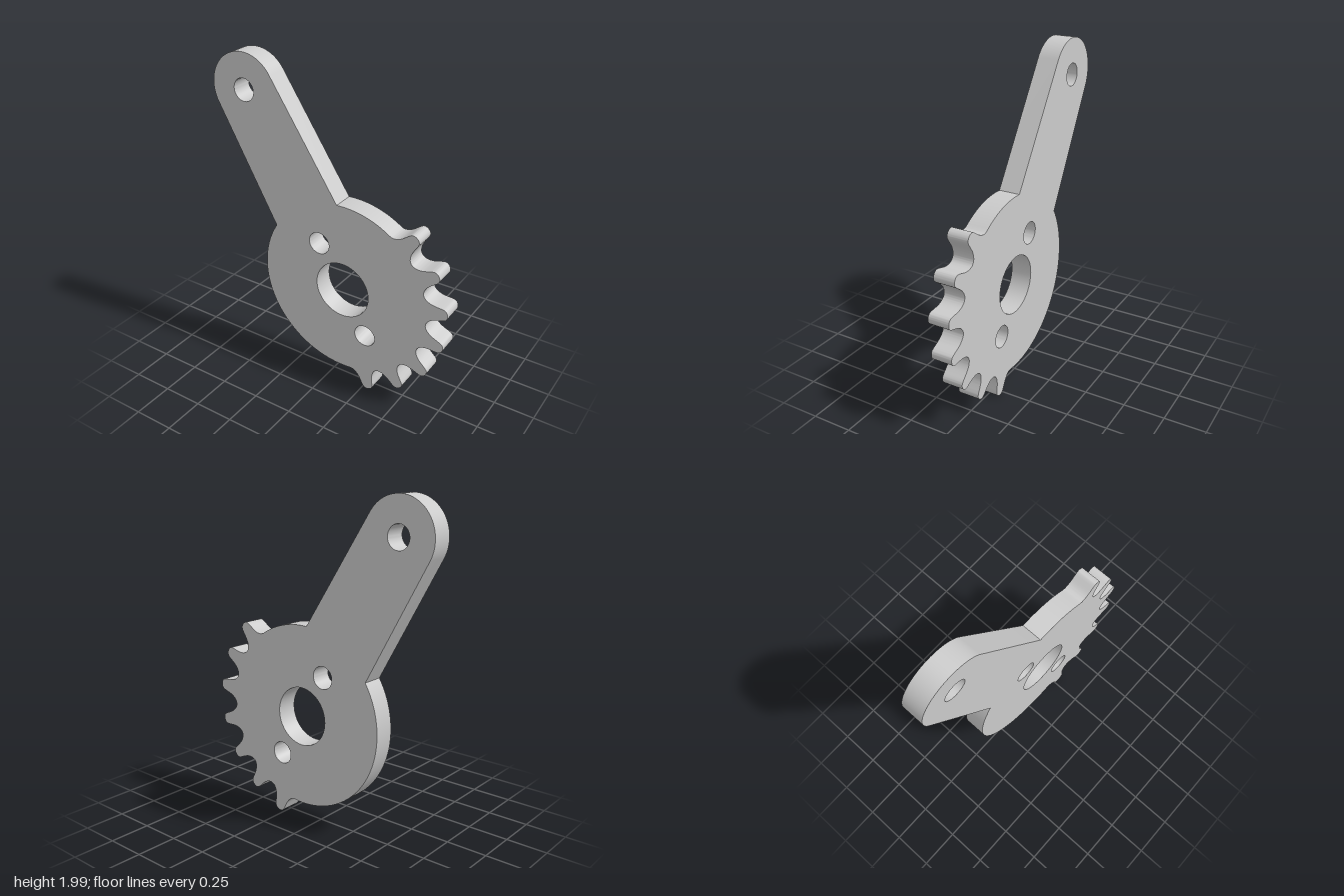
import * as THREE from 'three';
import { toCreasedNormals } from 'three/addons/utils/BufferGeometryUtils.js';

const HUB = new THREE.Vector2(0.097, 0.67), HUB_R = 0.557;
const ARM_END = new THREE.Vector2(-0.57, 1.78), ARM_R = 0.22;
const DEPTH = 0.132;

const polar = (c, r, deg) => {
  const a = THREE.MathUtils.degToRad(deg);
  return new THREE.Vector2(c.x + r * Math.cos(a), c.y + r * Math.sin(a));
};

function arc(c, r, from, to, steps) {
  return Array.from({ length: steps + 1 }, (_, i) => polar(c, r, from + (to - from) * i / steps));
}

// Seven teeth on a 20 degree pitch, as one smooth curve running anticlockwise
function toothedEdge() {
  // half a tooth, root to tip: radius, degrees from the tooth's middle
  const half = [[0.557, 10], [0.561, 8.2], [0.572, 6.7], [0.587, 5.5], [0.608, 4.5],
    [0.636, 3.75], [0.661, 3.2], [0.679, 2.5], [0.688, 1.4], [0.691, 0]];
  const pts = [];
  for (let i = 0; i < 7; i++) {
    const mid = -73.5 + 20 * i;
    half.forEach(([r, d], k) => { if (i === 0 || k > 0) pts.push(polar(HUB, r, mid - d)); });
    half.slice(0, -1).reverse().forEach(([r, d]) => pts.push(polar(HUB, r, mid + d)));
  }
  return new THREE.SplineCurve(pts).getPoints((pts.length - 1) * 3);
}

export function createModel() {
  const group = new THREE.Group();
  group.name = 'gearSectorLever';

  // Outline: teeth, top of the hub, rounded arm, back of the hub
  const shape = new THREE.Shape([
    ...toothedEdge(),
    ...arc(HUB, HUB_R, 56.5, 94.1, 20).slice(1),
    ...arc(ARM_END, ARM_R, 33.2, 208.5, 48),
    ...arc(HUB, HUB_R, 147.5, 276.5, 64).slice(0, -1),
  ]);

  // Bore, two hub bolt holes and the arm pin hole
  const holes = [[HUB.x, HUB.y, 0.18], [-0.065, 0.94, 0.069], [0.258, 0.4, 0.069],
    [ARM_END.x, ARM_END.y, 0.069]];
  for (const [x, y, r] of holes) {
    shape.holes.push(new THREE.Path(arc(new THREE.Vector2(x, y), r, 360, 0, 48).slice(0, -1)));
  }

  const geometry = new THREE.ExtrudeGeometry(shape, { depth: DEPTH, bevelEnabled: false });
  geometry.translate(0, 0, -DEPTH / 2);
  const plate = new THREE.Mesh(
    toCreasedNormals(geometry, Math.PI / 6),
    new THREE.MeshStandardMaterial({ color: 0xcccccc }),
  );
  plate.name = 'toothedLeverPlate';
  group.add(plate);
  return group;
}
